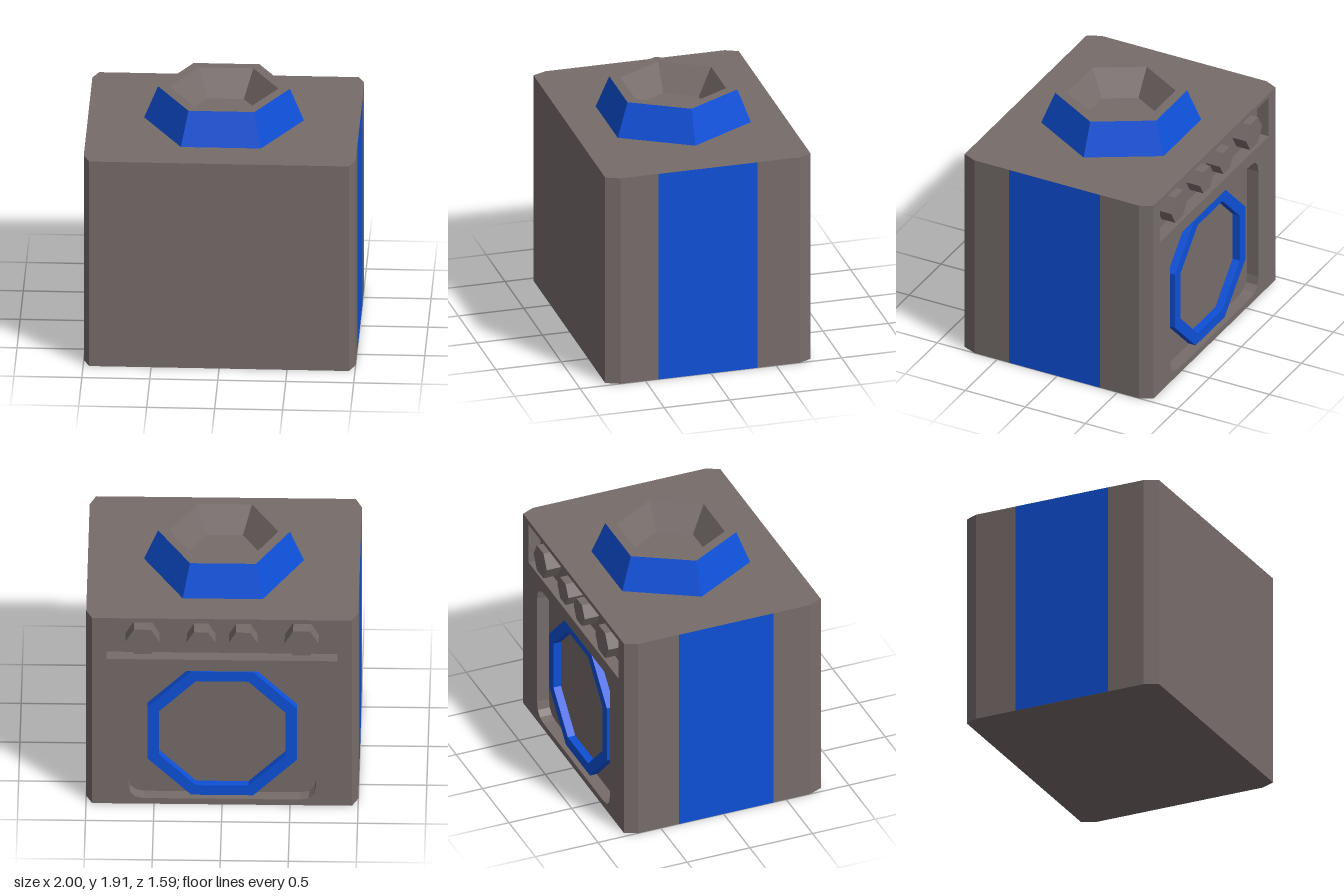
import * as THREE from 'three';

const casing = new THREE.MeshStandardMaterial({ color: 0x776d6b, flatShading: true });
const blue = new THREE.MeshStandardMaterial({ color: 0x0e50d8, flatShading: true });

const HEIGHT = 1.655, FRONT = 0.795, BACK = -0.775, FLOOR = -0.68;

function polygon(points, Type = THREE.Shape) {
  return new Type(points.map(([x, y]) => new THREE.Vector2(x, y)));
}

// Regular polygon outline with flat sides at the top and bottom
function regular(sides, radius, cx, cy, Type) {
  const points = [];
  for (let i = 0; i < sides; i++) {
    const a = -Math.PI / 2 + ((i + 0.5) / sides) * Math.PI * 2;
    points.push([cx + radius * Math.cos(a), cy + radius * Math.sin(a)]);
  }
  return polygon(points, Type);
}

// Rectangle with softened corners
function softRectangle(x, y0, y1, r) {
  const p = new THREE.Path();
  p.moveTo(-x + r, y0).lineTo(x - r, y0).quadraticCurveTo(x, y0, x, y0 + r);
  p.lineTo(x, y1 - r).quadraticCurveTo(x, y1, x - r, y1);
  p.lineTo(-x + r, y1).quadraticCurveTo(-x, y1, -x, y1 - r);
  p.lineTo(-x, y0 + r).quadraticCurveTo(-x, y0, -x + r, y0);
  return p;
}

function extrude(shape, depth) {
  return new THREE.ExtrudeGeometry(shape, { depth, bevelEnabled: false, curveSegments: 3 });
}

export function createModel() {
  const group = new THREE.Group();
  const add = (name, geometry, material) => {
    const mesh = new THREE.Mesh(geometry, material);
    mesh.name = name;
    group.add(mesh);
    return mesh;
  };

  // Main body: footprint with cut front corners, raised upwards
  const footprint = polygon([
    [-1, -0.69], [-0.955, -FRONT], [0.955, -FRONT], [1, -0.69], [1, -FLOOR], [-1, -FLOOR],
  ]);
  add('body', extrude(footprint, HEIGHT).rotateX(-Math.PI / 2), casing);

  // Back panel with two recesses, tapering to form the back corner cuts
  const panel = polygon([[-1, 0], [1, 0], [1, HEIGHT], [-1, HEIGHT]]);
  panel.holes.push(
    polygon([[-0.85, 1.29], [0.85, 1.29], [0.85, 1.62], [-0.85, 1.62]], THREE.Path),
    softRectangle(0.69, 0.05, 1.19, 0.12),
  );
  const panelGeometry = extrude(panel, FLOOR - BACK).translate(0, 0, BACK);
  const pos = panelGeometry.attributes.position;
  for (let i = 0; i < pos.count; i++) {
    const x = pos.getX(i);
    if (pos.getZ(i) < BACK + 0.01 && Math.abs(x) > 0.99) pos.setX(i, Math.sign(x) * 0.955);
  }
  panelGeometry.computeVertexNormals();
  add('backPanel', panelGeometry, casing);

  // Octagonal ring in the large recess
  const ringRadius = 0.55 / Math.cos(Math.PI / 8);
  const ring = regular(8, ringRadius, 0, 0.61);
  ring.holes.push(regular(8, ringRadius * 0.845, 0, 0.61, THREE.Path));
  add('ring', extrude(ring, 0.06).translate(0, 0, FLOOR - 0.06), blue);

  // Row of hexagonal knobs
  for (const side of [-1, 1]) {
    for (const [x, r] of [[0.155, 0.105], [0.585, 0.125]]) {
      const knob = extrude(regular(6, r, 0, 0), 0.115);
      add('knob', knob, casing).position.set(side * x, 1.46, FLOOR - 0.115);
    }
    // Coloured band on each side
    const band = new THREE.PlaneGeometry(0.755, HEIGHT).rotateY((side * Math.PI) / 2);
    add('sideBand', band, blue).position.set(side * 1.001, HEIGHT / 2, 0.0225);
  }

  // Hexagonal collar on top, with a sunken funnel
  const hexLathe = (points) => new THREE.LatheGeometry(
    points.map(([r, y]) => new THREE.Vector2(r, y)), 6).rotateY(Math.PI / 6);
  add('collar', hexLathe([[0.588, HEIGHT], [0.485, 1.908]]), blue);
  add('funnel', hexLathe([[0.485, 1.908], [0.4, 1.908], [0.27, 1.71], [0, 1.71]]), casing);

  return group;
}
